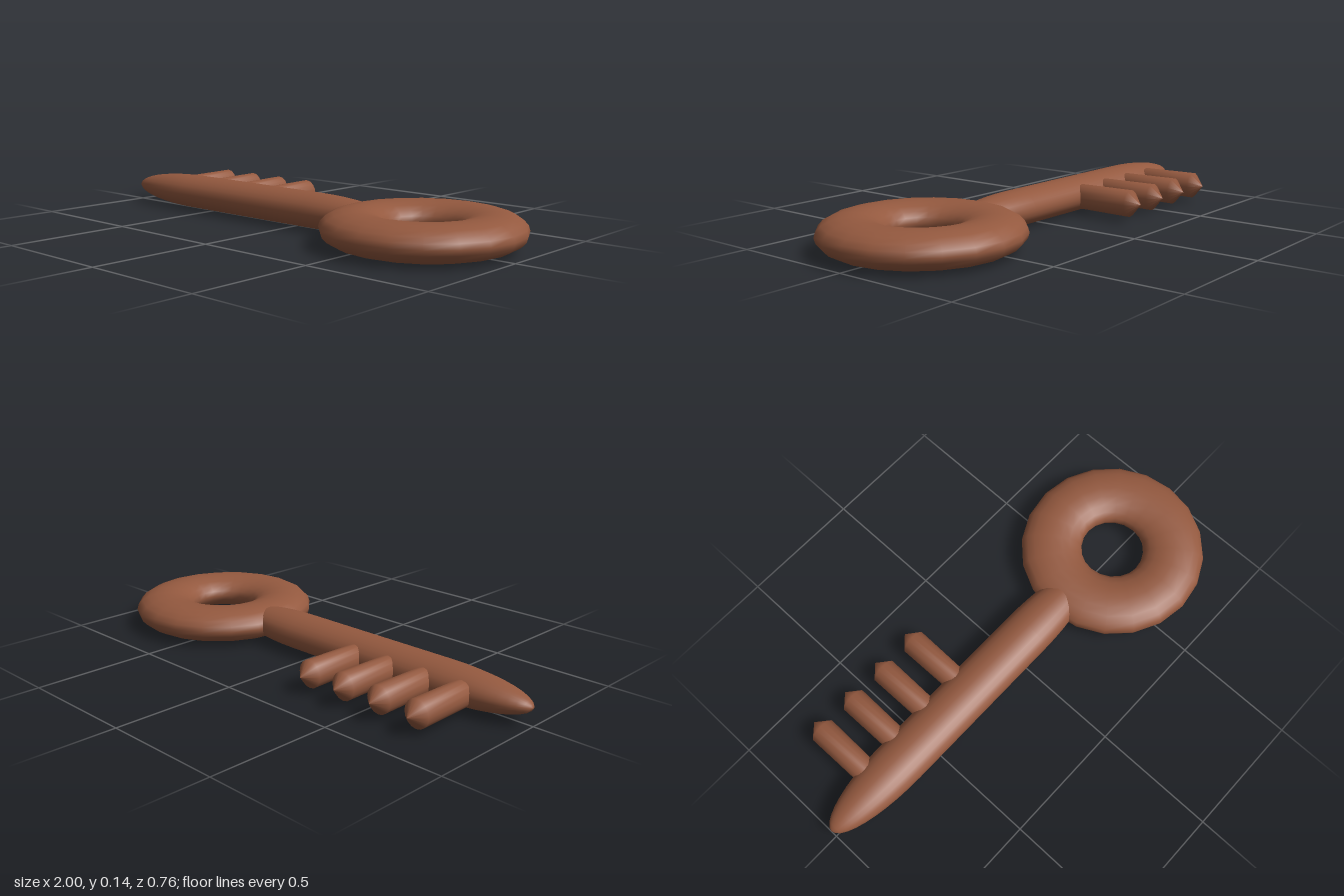
import * as THREE from 'three';

// Turns a half profile of [radius, height] points into a smooth round solid.
function turned(points, sides) {
  return new THREE.LatheGeometry(points.map(([r, h]) => new THREE.Vector2(r, h)), sides);
}

export function createModel() {
  const key = new THREE.Group();
  key.name = 'key';
  const copper = new THREE.MeshStandardMaterial({ color: 0x94593f });
  copper.name = 'copper brown';

  function add(name, geometry, x, y, z) {
    const mesh = new THREE.Mesh(geometry, copper);
    mesh.name = name;
    mesh.position.set(x, y, z);
    key.add(mesh);
    return mesh;
  }

  // Flattened ring handle
  const ring = new THREE.TorusGeometry(0.255, 0.126, 20, 20);
  ring.rotateX(Math.PI / 2);
  ring.scale(1, 0.54, 1);
  add('ringHandle', ring, 0.615, 0.069, -0.002);

  // Shaft: straight middle with long elliptical ends
  const profile = [];
  const steps = 10, taper = 0.38, half = 0.36;
  for (const end of [-1, 1]) {
    for (let i = 0; i <= steps; i++) {
      const a = (end < 0 ? i : steps - i) / steps * Math.PI / 2;
      profile.push([Math.sin(a), end * (half + taper * Math.cos(a))]);
    }
  }
  const shaft = turned(profile, 24);
  shaft.rotateZ(Math.PI / 2);
  shaft.scale(1, 0.071, 0.1);
  add('shaft', shaft, -0.26, 0.071, -0.01);

  // Four round teeth with pointed tips, pointing backwards
  const tooth = turned([[0, 0], [0.05, 0.05], [0.053, 0.29], [0, 0.34]], 16);
  tooth.rotateX(-Math.PI / 2);
  tooth.scale(1, 1.04, 1);
  for (let i = 0; i < 4; i++) {
    add('tooth' + (i + 1), tooth, -0.75 + i * 0.168, 0.071, -0.03);
  }

  return key;
}
